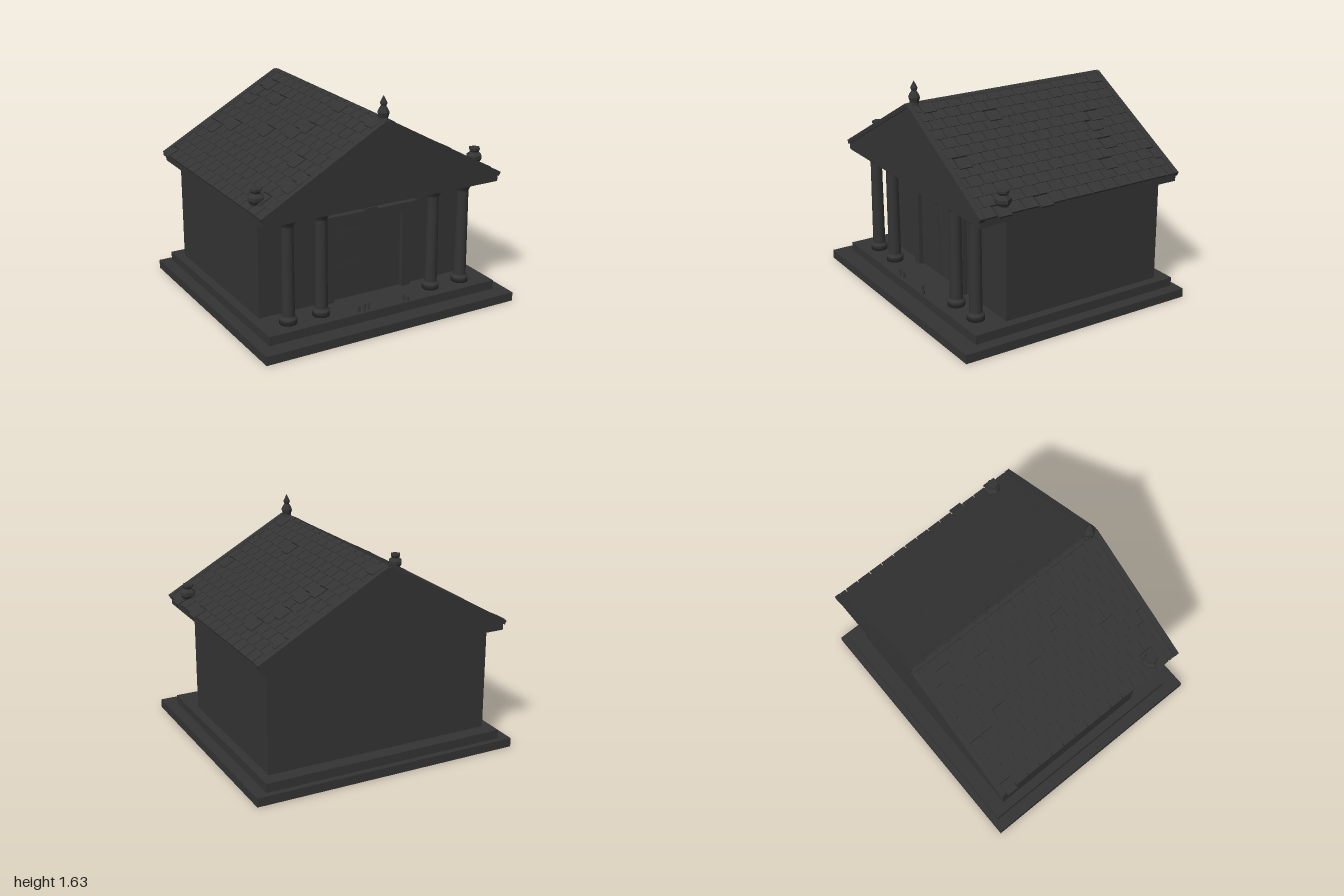
import * as THREE from 'three';
import { mergeGeometries } from 'three/addons/utils/BufferGeometryUtils.js';

const stone = new THREE.MeshStandardMaterial({ color: 0x343434 });
stone.name = 'dark stone';

function add(parent, name, geo, x = 0, y = 0, z = 0) {
  const m = new THREE.Mesh(geo, stone);
  m.name = name;
  m.position.set(x, y, z);
  parent.add(m);
  return m;
}

// Box given by its lower and upper limits
function block(parent, name, x0, x1, y0, y1, z0, z1) {
  return add(parent, name, new THREE.BoxGeometry(x1 - x0, y1 - y0, z1 - z0),
    (x0 + x1) / 2, (y0 + y1) / 2, (z0 + z1) / 2);
}

// Faceted turned piece from [radius, height] pairs
function turned(profile, sides) {
  const g = new THREE.LatheGeometry(profile.map(p => new THREE.Vector2(p[0], p[1])), sides).toNonIndexed();
  g.computeVertexNormals();
  return g;
}

function seeded(seed) {
  return () => (seed = (seed * 16807) % 2147483647) / 2147483647;
}

const APEX = 1.462, SLOPE = 0.554, ANGLE = Math.atan(SLOPE), ROOF_Z = -0.043;
const SLOPE_LENGTH = 0.938 / Math.cos(ANGLE);

// Solid roof block under the tiles, closed by both gables
function addRoofBlock(group) {
  const w = 0.93, s = new THREE.Shape();
  s.moveTo(-w, 0.888);
  s.lineTo(w, 0.888);
  s.lineTo(w, APEX - w * SLOPE);
  s.lineTo(0, APEX);
  s.lineTo(-w, APEX - w * SLOPE);
  s.closePath();
  const geo = new THREE.ExtrudeGeometry(s, { depth: 1.61, bevelEnabled: false });
  add(group, 'gableBlock', geo, 0, 0, ROOF_Z - 0.805);
}

// Staggered tiles with a few loose ones, laid down one slope
function slopeTiles(seed) {
  const rnd = seeded(seed), parts = [];
  const rows = 12, rowLen = SLOPE_LENGTH / rows, half = 0.775, pitch = 0.108;
  for (let r = 0; r < rows; r++) {
    const start = -half - (r % 2 ? pitch / 2 : 0);
    for (let z = start; z < half - 0.01; z += pitch) {
      const z0 = Math.max(z, -half), z1 = Math.min(z + pitch, half);
      if (z1 - z0 < 0.02) continue;
      const loose = rnd() < 0.06;
      const g = new THREE.BoxGeometry(rowLen + 0.006, 0.014, z1 - z0 - 0.008);
      g.rotateZ(0.04);
      g.translate((r + 0.5) * rowLen + (loose ? 0.018 : 0), loose ? 0.013 : 0.008, (z0 + z1) / 2);
      parts.push(g);
    }
  }
  return mergeGeometries(parts);
}

function addRoofCover(group) {
  const roof = new THREE.Group();
  roof.name = 'roofCover';
  roof.position.set(0, APEX, ROOF_Z);
  group.add(roof);
  for (const side of [0, 1]) {
    const turn = new THREE.Group();
    turn.name = side ? 'rightSlope' : 'leftSlope';
    turn.rotation.y = side * Math.PI;
    const slope = new THREE.Group();
    slope.rotation.z = -ANGLE;
    turn.add(slope);
    roof.add(turn);
    add(slope, 'roofTiles', slopeTiles(side ? 77 : 4021));
    // Edge boards along the gables
    for (const z of [-0.795, 0.795]) block(slope, 'edgeBoard', 0, SLOPE_LENGTH + 0.005, -0.014, 0.018, z - 0.02, z + 0.02);
  }
  // Row of ridge caps
  const cap = new THREE.CylinderGeometry(0.036, 0.036, 0.094, 8).toNonIndexed();
  cap.computeVertexNormals();
  cap.rotateX(Math.PI / 2);
  for (let i = 0; i < 15; i++) add(roof, 'ridgeCap', cap, 0, -0.016, -0.752 + i * 0.1075);
}

export function createModel() {
  const temple = new THREE.Group();
  temple.name = 'temple';

  // Stepped base and main room
  block(temple, 'lowerStep', -1, 1, 0, 0.065, -0.915, 0.915);
  block(temple, 'upperStep', -0.915, 0.915, 0.065, 0.131, -0.872, 0.79);
  block(temple, 'mainRoom', -0.85, 0.85, 0.131, 0.888, -0.765, 0.51);

  addRoofBlock(temple);
  addRoofCover(temple);

  // Porch columns
  const columnGeo = new THREE.LatheGeometry([
    [0, 0], [0.062, 0], [0.062, 0.036], [0.062, 0.036], [0.046, 0.055], [0.046, 0.055], [0.042, 0.7],
    [0.042, 0.7], [0.047, 0.715], [0.062, 0.738], [0.062, 0.738], [0.062, 0.757], [0, 0.757],
  ].map(p => new THREE.Vector2(p[0], p[1])), 16);
  for (const x of [-0.705, -0.45, 0.45, 0.705]) add(temple, 'column', columnGeo, x, 0.131, 0.66);

  // Doorway
  block(temple, 'lintel', -0.388, 0.388, 0.71, 0.78, 0.5, 0.565);
  block(temple, 'keystone', -0.046, 0.046, 0.71, 0.8, 0.5, 0.575);
  for (const x of [-0.315, 0.315]) block(temple, 'doorJamb', x - 0.037, x + 0.037, 0.131, 0.71, 0.5, 0.545);
  for (const [y0, y1] of [[0.134, 0.388], [0.392, 0.64]]) {
    block(temple, 'doorPanel', -0.277, -0.035, y0, y1, 0.508, 0.514);
  }

  // Urns near the eaves
  const urnGeo = turned([
    [0, 0], [0.036, 0], [0.03, 0.03], [0.058, 0.07], [0.058, 0.095], [0.03, 0.118],
    [0.042, 0.135], [0.042, 0.15], [0, 0.15],
  ], 6);
  for (const x of [-0.875, 0.875]) add(temple, 'urn', urnGeo, x, 0.94, 0.552).rotation.y = Math.PI / 6;

  // Finial on the front gable
  const finialGeo = turned([
    [0, 0], [0.038, 0], [0.032, 0.025], [0.042, 0.06], [0.034, 0.08], [0.018, 0.105], [0.026, 0.125], [0.001, 0.175],
  ], 8);
  add(temple, 'finial', finialGeo, 0, 1.456, 0.705);

  // Small candles on the step
  const candles = [[-0.2, 0.035, 0.75], [-0.167, 0.055, 0.765], [-0.13, 0.052, 0.755], [0.155, 0.052, 0.76], [0.185, 0.03, 0.77]];
  for (const [x, h, z] of candles) {
    add(temple, 'candle', new THREE.CylinderGeometry(0.008, 0.008, h, 8), x, 0.131 + h / 2, z);
  }
  return temple;
}
